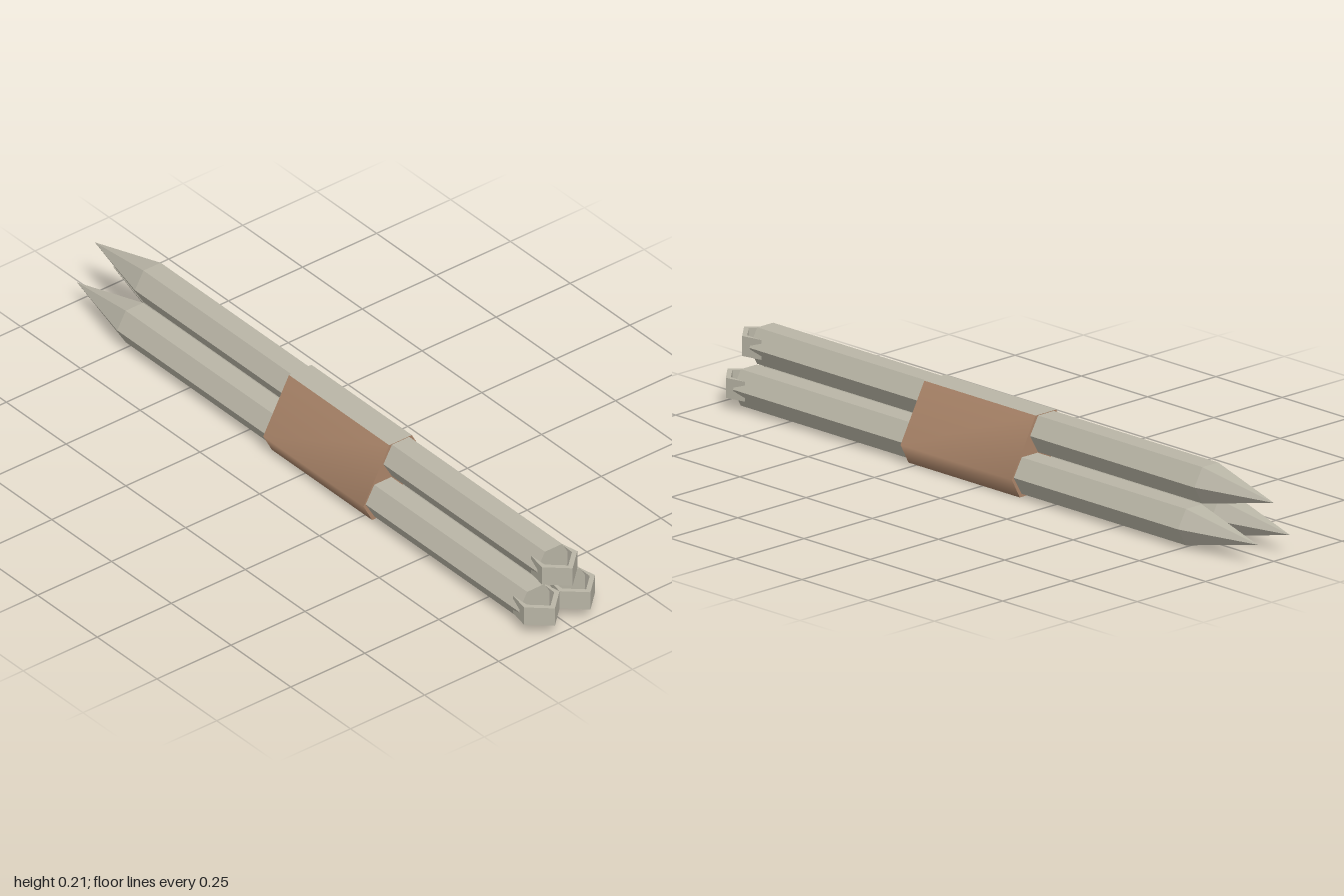
import * as THREE from 'three';

const wood = new THREE.MeshStandardMaterial({ color: 0xb9b5a6 });
wood.name = 'pale grey wood';
wood.flatShading = true;
const leather = new THREE.MeshStandardMaterial({ color: 0xac866a });
leather.name = 'brown leather';

const RADIUS = 0.058, SHOULDER = -0.76, TIP = -1, BUTT = 0.92;
const BAND_FRONT = 0.28, BAND_BACK = -0.14;

function addMesh(parent, name, geometry, material) {
  const mesh = new THREE.Mesh(geometry, material);
  mesh.name = name;
  parent.add(mesh);
  return mesh;
}

// Six-sided bar along z with flats at top and bottom; the back end has radius rBack
function hexBar(zBack, zFront, rBack, open) {
  const g = new THREE.CylinderGeometry(rBack, RADIUS, zFront - zBack, 6, 1, open, Math.PI / 2);
  return g.rotateX(-Math.PI / 2).translate(0, 0, (zBack + zFront) / 2);
}

// Bent strap with a pointed nose, its legs sunk into the butt of the stake
function loopGeometry() {
  const outer = [[-0.048, 0.885], [-0.06, 0.945], [0, 1], [0.06, 0.945], [0.048, 0.885]];
  const inner = [[0.046, 0.94], [0, 0.982], [-0.046, 0.94]];
  const shape = new THREE.Shape([...outer, ...inner].map(([x, z]) => new THREE.Vector2(x, z)));
  const height = 0.055;
  return new THREE.ExtrudeGeometry(shape, { depth: height, bevelEnabled: false })
    .rotateX(Math.PI / 2).translate(0, height / 2, 0);
}

function makeStake(name, x, y) {
  const stake = new THREE.Group();
  stake.name = name;
  addMesh(stake, 'shaft', hexBar(SHOULDER, BUTT, RADIUS, false), wood);
  addMesh(stake, 'point', hexBar(TIP, SHOULDER, 0, true), wood);
  addMesh(stake, 'endLoop', loopGeometry(), wood);
  stake.position.set(x, y, 0);
  return stake;
}

// Wrap around the bundle, open along the top where the upper stake shows
function makeBand() {
  const band = new THREE.Group();
  band.name = 'band';
  const outline = [[-0.038, 0.213], [-0.125, 0.055], [-0.096, 0], [0.096, 0], [0.125, 0.055], [0.038, 0.213]];

  const positions = [], index = [];
  outline.forEach(([x, y], i) => {
    positions.push(x, y, BAND_FRONT, x, y, BAND_BACK);
    if (i === 0) return;
    const a = 2 * (i - 1), b = 2 * i;
    index.push(a, a + 1, b + 1, a, b + 1, b);
  });
  const wrap = new THREE.BufferGeometry();
  wrap.setAttribute('position', new THREE.Float32BufferAttribute(positions, 3));
  wrap.setIndex(index);
  wrap.computeVertexNormals();
  addMesh(band, 'wrap', wrap, leather);

  // End caps filling the gaps between the stakes
  const face = new THREE.Shape(outline.map(([x, y]) => new THREE.Vector2(x, y)));
  addMesh(band, 'frontCap', new THREE.ShapeGeometry(face).translate(0, 0, BAND_FRONT), leather);
  addMesh(band, 'backCap', new THREE.ShapeGeometry(face).rotateY(Math.PI).translate(0, 0, BAND_BACK), leather);

  // Pale strip closing the top
  const strip = new THREE.PlaneGeometry(0.076, BAND_FRONT - BAND_BACK).rotateX(-Math.PI / 2);
  addMesh(band, 'topStrip', strip, wood).position.set(0, 0.213, (BAND_FRONT + BAND_BACK) / 2);
  return band;
}

export function createModel() {
  const model = new THREE.Group();
  model.name = 'stakeBundle';
  model.add(
    makeStake('leftStake', 0.06, 0.059),
    makeStake('rightStake', -0.06, 0.059),
    makeStake('topStake', 0, 0.161),
    makeBand()
  );
  return model;
}
